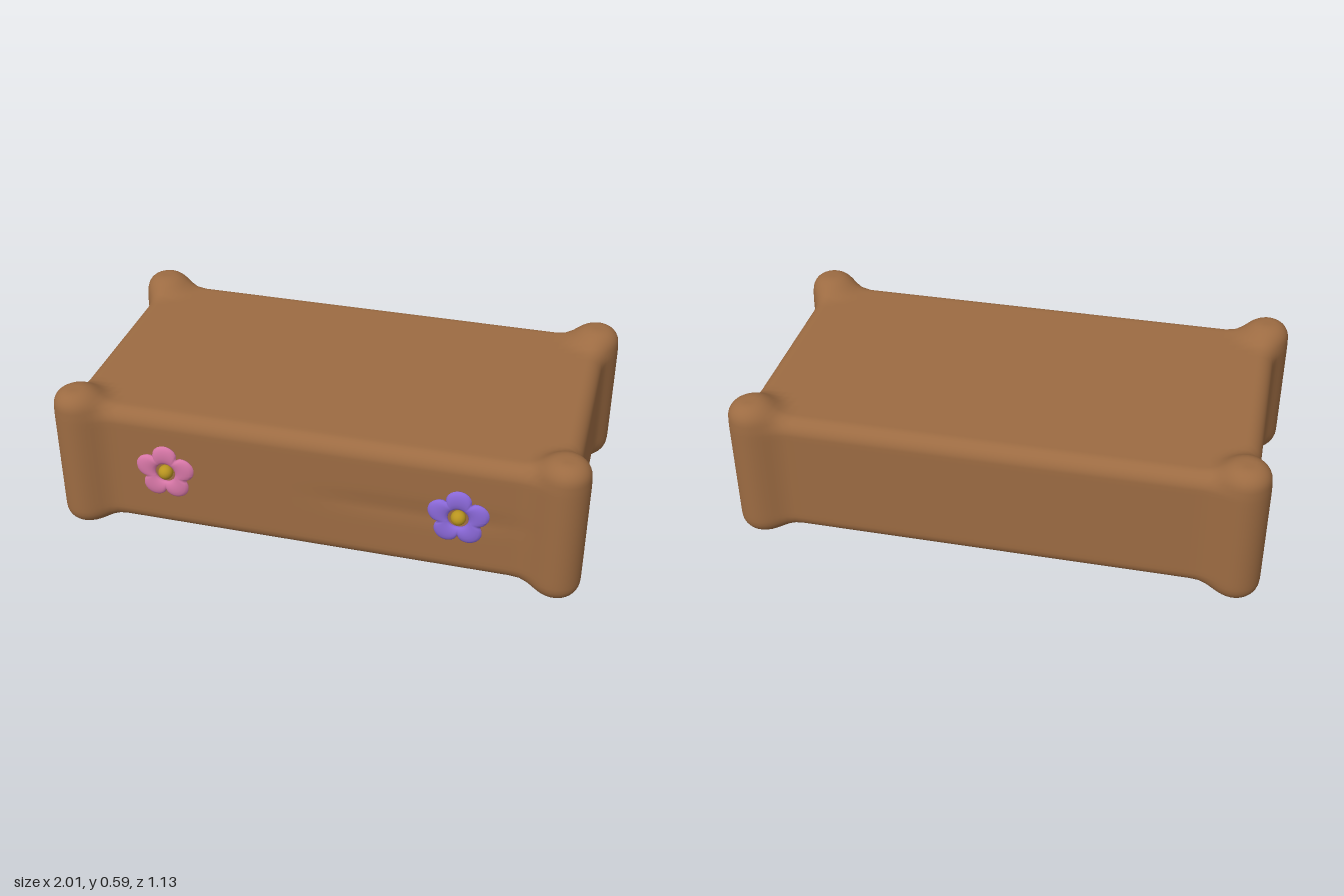
import * as THREE from 'three';

const brown = new THREE.MeshStandardMaterial({ color: 0x9c6b42 });
const pink = new THREE.MeshStandardMaterial({ color: 0xd676a6 });
const purple = new THREE.MeshStandardMaterial({ color: 0x8a68d8 });
const gold = new THREE.MeshStandardMaterial({ color: 0xb8941f });
brown.name = 'brown';
pink.name = 'pink';
purple.name = 'purple';
gold.name = 'gold';

// Distance to a box (half sizes h) whose edges are rounded by r
function roundBox(x, y, z, h, r) {
  const q = [Math.abs(x) - h[0] + r, Math.abs(y) - h[1] + r, Math.abs(z) - h[2] + r];
  const out = Math.hypot(...q.map((v) => Math.max(v, 0)));
  return out + Math.min(Math.max(...q), 0) - r;
}

// Distance to an upright cylinder with rounded rims
function roundPost(x, y, z, radius, half, r) {
  const a = Math.hypot(x, z) - radius + r;
  const b = Math.abs(y) - half + r;
  return Math.hypot(Math.max(a, 0), Math.max(b, 0)) + Math.min(Math.max(a, b), 0) - r;
}

// Slab and four corner posts melted together
function chestField(x, y, z) {
  let slab = roundBox(x, y - 0.279, z + 0.006, [0.955, 0.249, 0.522], 0.06);
  if (z > 0.3) slab += 0.006 * Math.exp(-(((y - 0.28) / 0.04) ** 2)) * Math.exp(-(((x - 0.4) / 0.35) ** 4));
  const post = roundPost(Math.abs(x) - 0.916, y - 0.289, Math.abs(z) - 0.479, 0.084, 0.289, 0.06);
  const k = 0.08;
  const h = Math.max(k - Math.abs(slab - post), 0) / k;
  return Math.min(slab, post) - h * h * k * 0.25;
}

function fieldGradient(x, y, z) {
  const e = 0.0005;
  return new THREE.Vector3(
    chestField(x + e, y, z) - chestField(x - e, y, z),
    chestField(x, y + e, z) - chestField(x, y - e, z),
    chestField(x, y, z + e) - chestField(x, y, z - e),
  ).normalize();
}

// Shrink a fine box, denser towards its corners, onto the melted shape
function chestGeometry() {
  const geo = new THREE.BoxGeometry(2, 2, 2, 72, 32, 52);
  const pos = geo.attributes.position;
  const spread = (t) => Math.sin((t * Math.PI) / 2);
  const p = new THREE.Vector3();
  for (let i = 0; i < pos.count; i++) {
    p.fromBufferAttribute(pos, i);
    p.set(spread(p.x), 0.289 + 0.289 * spread(p.y), 0.563 * spread(p.z));
    for (let n = 0; n < 25; n++) {
      p.addScaledVector(fieldGradient(p.x, p.y, p.z), -chestField(p.x, p.y, p.z));
    }
    const normal = fieldGradient(p.x, p.y, p.z);
    pos.setXYZ(i, p.x, p.y, p.z);
    geo.attributes.normal.setXYZ(i, normal.x, normal.y, normal.z);
  }
  return geo;
}

// Ring with a round hole and five swollen petals
function petalGeometry() {
  const geo = new THREE.TorusGeometry(1, 0.5, 14, 80);
  const pos = geo.attributes.position;
  for (let i = 0; i < pos.count; i++) {
    const x = pos.getX(i), y = pos.getY(i);
    const u = Math.atan2(y, x);
    const across = (Math.hypot(x, y) - 1) / 0.5;
    const lobe = Math.abs(Math.cos(2.5 * (u - Math.PI / 2))) ** 0.65;
    const inner = 0.038, outer = 0.076 + 0.04 * lobe;
    const radius = (inner + outer) / 2 + ((outer - inner) / 2) * across;
    const thick = 0.012 + 0.003 * lobe;
    pos.setXYZ(i, radius * Math.cos(u), radius * Math.sin(u), (pos.getZ(i) / 0.5) * thick);
  }
  geo.computeVertexNormals();
  return geo;
}

function addMesh(parent, name, geometry, material) {
  const mesh = new THREE.Mesh(geometry, material);
  mesh.name = name;
  parent.add(mesh);
  return mesh;
}

export function createModel() {
  const model = new THREE.Group();
  model.name = 'drawer';

  addMesh(model, 'bodyWithCornerPosts', chestGeometry(), brown);

  // Flowers on the front
  const petals = petalGeometry();
  const heart = new THREE.SphereGeometry(0.028, 20, 14);
  for (const [name, x, material] of [['rightFlower', -0.56, pink], ['leftFlower', 0.552, purple]]) {
    const flower = new THREE.Group();
    flower.name = name;
    flower.position.set(x, 0.295, 0.53);
    addMesh(flower, 'petals', petals, material);
    addMesh(flower, 'flowerHeart', heart, gold).position.z = -0.002;
    model.add(flower);
  }
  return model;
}
